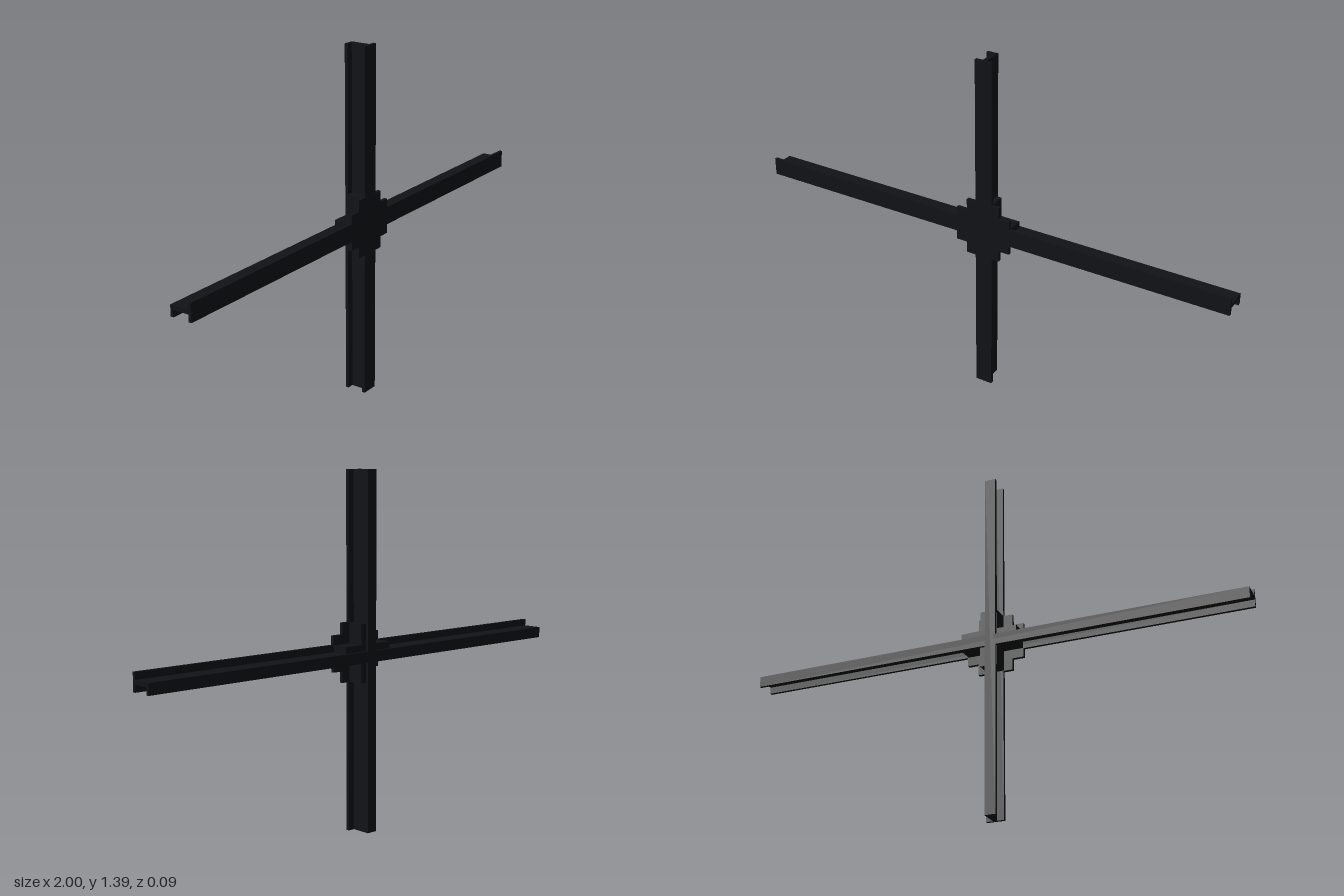
import * as THREE from 'three';

const material = new THREE.MeshStandardMaterial({ color: 0x101216 });
const CENTRE_Y = 0.698;

// Bar section: full front flange, central web, and a back flange on one side only
function barGeometry(length) {
  const w = 0.035, d = 0.045, t = 0.012, web = 0.008;
  const shape = new THREE.Shape([
    [-w, d], [-w, d - t], [-web, d - t], [-web, -d + t],
    [-w, -d + t], [-w, -d], [web, -d], [web, d - t], [w, d - t], [w, d],
  ].map(([x, y]) => new THREE.Vector2(x, y)));
  const geometry = new THREE.ExtrudeGeometry(shape, { depth: length, bevelEnabled: false });
  geometry.translate(0, 0, -length / 2);
  // Section depth becomes z, extrusion runs along y
  geometry.rotateX(Math.PI / 2);
  return geometry.scale(1, 1, 1);
}

// Cross-shaped outline with given arm reach and half width
function crossGeometry(reach, half, depth) {
  const points = [];
  for (let i = 0; i < 4; i++) {
    const a = i * Math.PI / 2;
    for (const [x, y] of [[half, half], [reach, half], [reach, -half]].reverse()) {
      points.push(new THREE.Vector2(x, y).rotateAround(new THREE.Vector2(), a));
    }
  }
  return new THREE.ExtrudeGeometry(new THREE.Shape(points), { depth, bevelEnabled: false });
}

export function createModel() {
  const model = new THREE.Group();
  model.name = 'crossBars';
  const add = (name, geometry, x, y, z) => {
    const mesh = new THREE.Mesh(geometry, material);
    mesh.name = name;
    mesh.position.set(x, y, z);
    model.add(mesh);
    return mesh;
  };

  // Upright and crossing bars
  add('verticalBar', barGeometry(1.386), 0.003, 0.693, 0);
  const across = add('horizontalBar', barGeometry(2), 0, CENTRE_Y, 0);
  across.rotation.z = Math.PI / 2;

  // Joint: stepped front plate and a narrower sleeve behind it
  add('jointFrontPlate', crossGeometry(0.115, 0.07, 0.014), 0, CENTRE_Y, 0.032);
  add('jointSleeve', crossGeometry(0.113, 0.034, 0.067), 0, CENTRE_Y, -0.035);
  return model;
}
